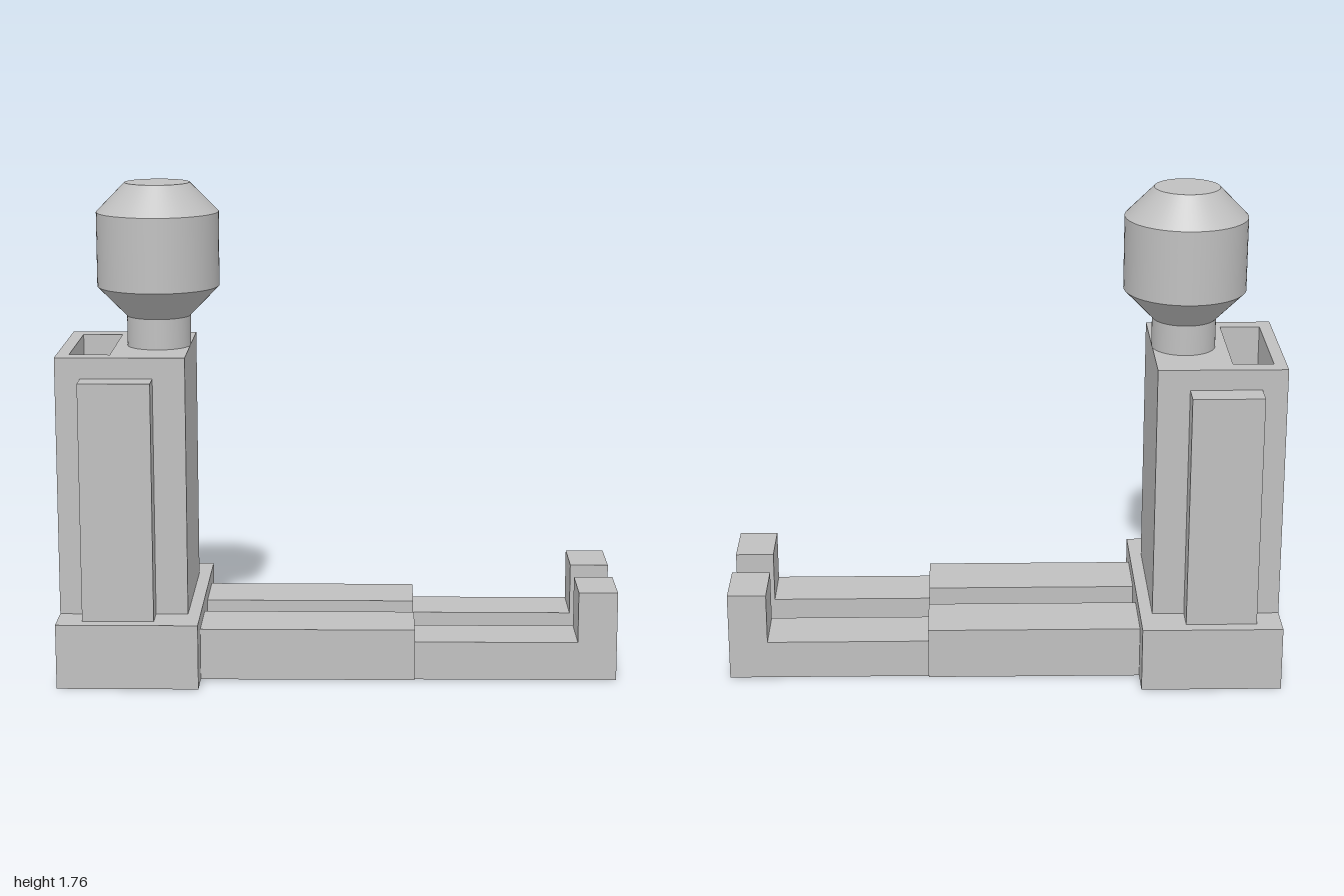
import * as THREE from 'three';

const grey = new THREE.MeshStandardMaterial({ color: 0xc0c0c0 });
grey.name = 'plain grey';

export function createModel() {
  const model = new THREE.Group();
  model.name = 'seatedFigure';

  const add = (name, geometry) => {
    const mesh = new THREE.Mesh(geometry, grey);
    mesh.name = name;
    model.add(mesh);
    return mesh;
  };

  // Box given by its limits on each axis
  const block = (name, [x0, x1], [y0, y1], [z0, z1]) =>
    add(name, new THREE.BoxGeometry(x1 - x0, y1 - y0, z1 - z0))
      .position.set((x0 + x1) / 2, (y0 + y1) / 2, (z0 + z1) / 2);

  const rectangle = (Kind, x0, x1, y0, y1) => new Kind([
    new THREE.Vector2(x0, y0), new THREE.Vector2(x1, y0),
    new THREE.Vector2(x1, y1), new THREE.Vector2(x0, y1),
  ]);

  // Hips and solid lower torso
  block('hips', [-1, -0.495], [0, 0.235], [-0.42, 0.42]);
  block('lowerTorso', [-1, -0.54], [0.235, 0.67], [-0.277, 0.277]);

  // Upper torso with an open slot in its top
  const outline = rectangle(THREE.Shape, -1, -0.54, -0.277, 0.277);
  outline.holes.push(rectangle(THREE.Path, -0.955, -0.81, -0.213, 0.213));
  const upper = new THREE.ExtrudeGeometry(outline, { depth: 0.5, bevelEnabled: false });
  upper.rotateX(-Math.PI / 2);
  add('upperTorso', upper).position.y = 0.67;

  // Lower leg and upright foot share one L-shaped side profile
  const legProfile = new THREE.Shape([
    [0.275, 0], [1, 0], [1, 0.325], [0.86, 0.325], [0.86, 0.14], [0.275, 0.14],
  ].map(([x, y]) => new THREE.Vector2(x, y)));

  // Arms and legs, mirrored on both sides
  for (const side of [1, -1]) {
    const label = side > 0 ? 'near' : 'far';
    const span = (a, b) => (side > 0 ? [a, b] : [-b, -a]);
    block(label + 'Arm', [-0.91, -0.655], [0.235, 1.095], span(0.277, 0.372));
    block(label + 'Thigh', [-0.495, 0.275], [0, 0.187], span(0.072, 0.303));
    const leg = new THREE.ExtrudeGeometry(legProfile, { depth: 0.21, bevelEnabled: false });
    add(label + 'LowerLeg', leg).position.z = span(0.083, 0.293)[0];
  }

  // Neck and head: stacked round sections with sharp edges between them
  const sections = [
    ['neck', 1.17, 0.115, 1.28, 0.115],
    ['jaw', 1.28, 0.115, 1.388, 0.22],
    ['face', 1.388, 0.22, 1.655, 0.22],
    ['crown', 1.655, 0.22, 1.76, 0.117],
  ];
  for (const [name, y0, r0, y1, r1] of sections) {
    const open = name !== 'crown';
    add(name, new THREE.CylinderGeometry(r1, r0, y1 - y0, 64, 1, open))
      .position.set(-0.653, (y0 + y1) / 2, 0);
  }

  return model;
}
